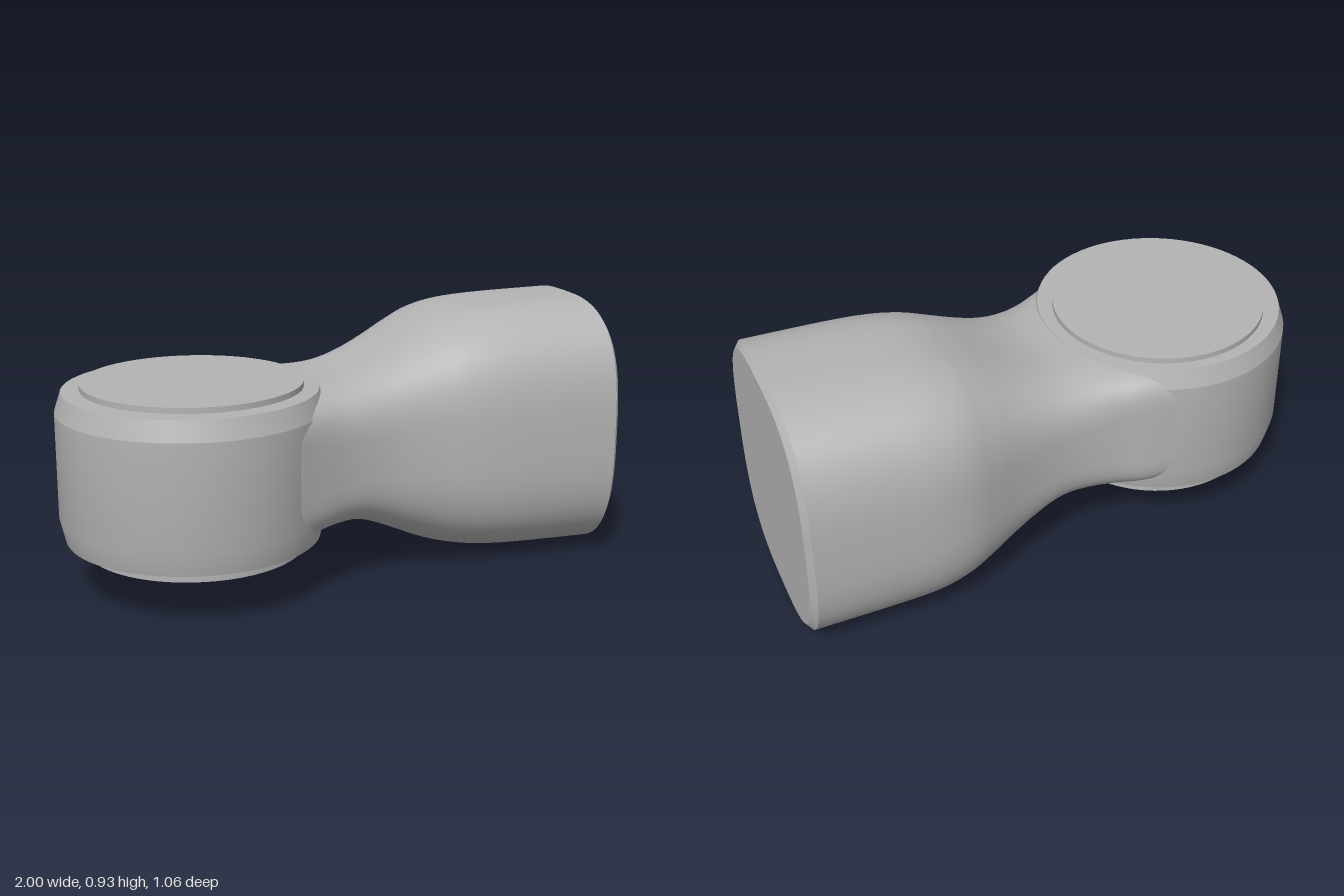
import * as THREE from 'three';
import { toCreasedNormals } from 'three/addons/utils/BufferGeometryUtils.js';

const grey = new THREE.MeshStandardMaterial({ color: 0xb4b4b4 });
const greyThin = grey.clone();
greyThin.side = THREE.DoubleSide;
grey.name = 'grey';
greyThin.name = 'grey open';

const SIDES = 72;

// Rounded-square outline in the zy plane at a given x
function section(x, z0, z1, y0, y1, n) {
  const pts = [];
  const soft = (v) => Math.sign(v) * Math.pow(Math.abs(v), 2 / n);
  for (let j = 0; j < SIDES; j++) {
    const a = (j / SIDES) * Math.PI * 2;
    pts.push(new THREE.Vector3(
      x,
      (y0 + y1) / 2 + ((y1 - y0) / 2) * soft(Math.sin(a)),
      (z0 + z1) / 2 + ((z1 - z0) / 2) * soft(Math.cos(a))));
  }
  return pts;
}

// Skin joining successive closed sections
function loft(rings) {
  const geo = new THREE.BufferGeometry().setFromPoints(rings.flat());
  const index = [];
  for (let i = 0; i < rings.length - 1; i++) {
    for (let j = 0; j < SIDES; j++) {
      const k = (j + 1) % SIDES;
      const a = i * SIDES + j, b = i * SIDES + k;
      index.push(a, a + SIDES, b, b, a + SIDES, b + SIDES);
    }
  }
  geo.setIndex(index);
  geo.computeVertexNormals();
  return geo;
}

function lathe(profile, segments = 72) {
  const pts = profile.map(([r, y]) => new THREE.Vector2(r, y));
  return toCreasedNormals(new THREE.LatheGeometry(pts, segments), 0.25);
}

export function createModel() {
  const group = new THREE.Group();
  const add = (name, geo, mat, x = 0, y = 0, z = 0) => {
    const mesh = new THREE.Mesh(geo, mat);
    mesh.name = name;
    mesh.position.set(x, y, z);
    group.add(mesh);
  };

  // Round joint housing with bevelled edges
  add('jointHousing', lathe([
    [0.38, 0.195], [0.445, 0.195], [0.465, 0.28], [0.465, 0.65], [0.442, 0.72], [0.3, 0.72],
  ]), grey, -0.535, 0, 0.062);

  // Hollow drum through the housing, closed on top
  add('jointDrum', lathe([[0.385, 0.145], [0.385, 0.74], [0, 0.74]]), greyThin, -0.525, 0, 0.045);

  // Floor plate inside the drum, with one quarter open
  const plate = new THREE.CircleGeometry(0.365, 48, 3.37, 4.48);
  plate.rotateX(Math.PI / 2);
  add('drumFloor', plate, greyThin, -0.525, 0.185, 0.045);

  // Arm flaring from the housing to the square end: x, z range, y range, squareness
  const stations = [
    [-0.45, -0.385, 0.49, 0.21, 0.715, 6],
    [-0.3, -0.372, 0.455, 0.21, 0.715, 6],
    [-0.19, -0.356, 0.4, 0.212, 0.715, 5],
    [-0.08, -0.353, 0.35, 0.215, 0.716, 4.2],
    [0.02, -0.362, 0.318, 0.208, 0.728, 3.8],
    [0.12, -0.386, 0.298, 0.17, 0.76, 3.5],
    [0.22, -0.422, 0.294, 0.12, 0.807, 3.2],
    [0.32, -0.468, 0.3, 0.072, 0.858, 3],
    [0.42, -0.508, 0.312, 0.04, 0.897, 3],
    [0.54, -0.528, 0.322, 0.018, 0.92, 3],
    [0.7, -0.53, 0.326, 0.008, 0.93, 3],
    [0.98, -0.53, 0.328, 0.002, 0.935, 3],
  ];
  const depthCurve = new THREE.CatmullRomCurve3(
    stations.map((s) => new THREE.Vector3(s[0], s[1], s[2])), false, 'catmullrom');
  const heightCurve = new THREE.CatmullRomCurve3(
    stations.map((s) => new THREE.Vector3(s[3], s[4], s[5])), false, 'catmullrom');
  const rings = [];
  for (let i = 0; i <= 55; i++) {
    const d = depthCurve.getPoint(i / 55), h = heightCurve.getPoint(i / 55);
    rings.push(section(d.x, d.y, d.z, h.x, h.y, h.z));
  }
  add('arm', loft(rings), grey);

  // Bevel around the square end
  const rim = section(1, -0.506, 0.304, 0.024, 0.912, 3);
  add('endBevel', loft([section(0.98, -0.53, 0.328, 0.002, 0.935, 3), rim]), grey);

  // End face with a shallow round socket
  const face = new THREE.Shape(rim.map((p) => new THREE.Vector2(-p.z, p.y)).reverse());
  const hole = new THREE.Path();
  hole.absarc(0.098, 0.467, 0.124, 0, Math.PI * 2, true);
  face.holes.push(hole);
  const faceGeo = new THREE.ShapeGeometry(face, 8);
  faceGeo.rotateY(Math.PI / 2);
  add('endFace', faceGeo, grey, 1, 0, 0);

  const wall = new THREE.CylinderGeometry(0.124, 0.124, 0.02, 16, 1, true);
  wall.rotateZ(Math.PI / 2);
  add('socketWall', wall, greyThin, 0.99, 0.467, -0.098);
  const floor = new THREE.CircleGeometry(0.124, 16);
  floor.rotateY(Math.PI / 2);
  add('socketFloor', floor, grey, 0.98, 0.467, -0.098);

  return group;
}
